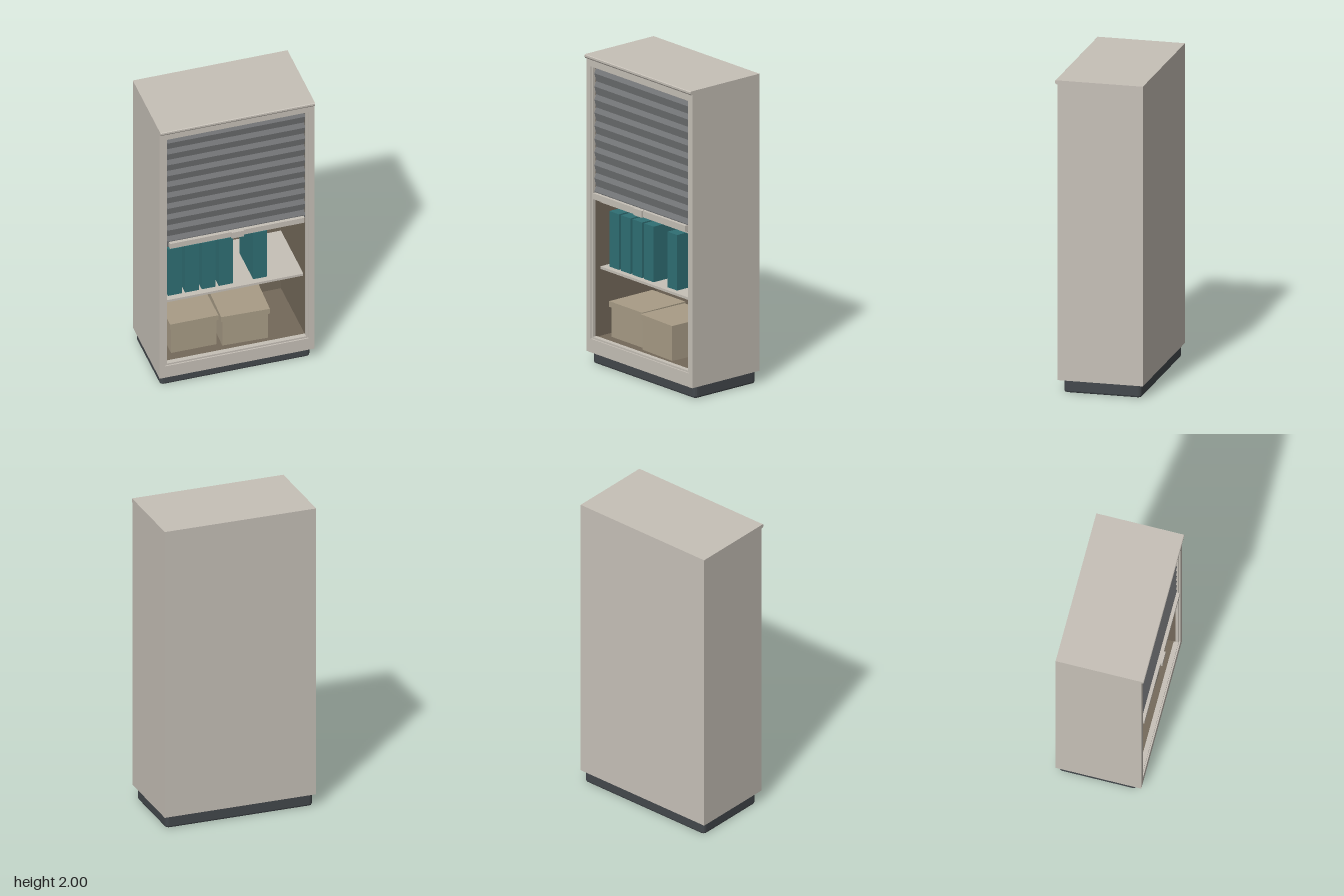
import * as THREE from 'three';

const mat = (name, color) => new THREE.MeshStandardMaterial({ name, color });

export function createModel() {
  const root = new THREE.Group();
  root.name = 'rollerShutterCabinet';
  const body = mat('warmGreyPaint', 0xc6c0b7);
  const lining = mat('brownLining', 0x74695a);
  const shutterGrey = mat('shutterGrey', 0x77797b);
  const plinthGrey = mat('plinthCharcoal', 0x43484c);
  const teal = mat('binderTeal', 0x2f6f74);
  const card = mat('boxCardboard', 0xa89c86);

  const add = (name, geo, m, parent = root) => {
    const mesh = new THREE.Mesh(geo, m);
    mesh.name = name;
    parent.add(mesh);
    return mesh;
  };
  // box given by its limits on each axis
  const block = (name, m, [x0, x1], [y0, y1], [z0, z1], parent) => {
    const mesh = add(name, new THREE.BoxGeometry(x1 - x0, y1 - y0, z1 - z0), m, parent);
    mesh.position.set((x0 + x1) / 2, (y0 + y1) / 2, (z0 + z1) / 2);
    return mesh;
  };
  // [z, y] profile extruded along x, centred
  const extrudeX = (pts, width) => {
    const shape = new THREE.Shape(pts.map(([z, y]) => new THREE.Vector2(z, y)));
    return new THREE.ExtrudeGeometry(shape, { depth: width, bevelEnabled: false })
      .rotateY(-Math.PI / 2).translate(width / 2, 0, 0);
  };
  const rect = (Type, x, y0, y1) => new Type([[-x, y0], [x, y0], [x, y1], [-x, y1]]
    .map(([a, b]) => new THREE.Vector2(a, b)));

  // carcass: a frame with a front opening, closed by a back panel
  const frame = rect(THREE.Shape, 0.5, 0.08, 2);
  frame.holes.push(rect(THREE.Path, 0.463, 0.168, 1.928));
  add('carcass', new THREE.ExtrudeGeometry(frame, { depth: 0.535, bevelEnabled: false })
    .translate(0, 0, -0.27), body);
  block('backPanel', body, [-0.5, 0.5], [0.08, 2], [-0.28, -0.27]);
  add('topLip', extrudeX([[0.264, 2], [0.264, 1.975], [0.274, 1.975], [0.28, 1.984], [0.28, 1.996], [0.276, 2]], 1), body);

  // plinth with rounded corners and a chamfered foot
  const px = 0.473, pz = 0.235, r = 0.015;
  const foot = new THREE.Shape();
  foot.moveTo(-px + r, -pz);
  foot.lineTo(px - r, -pz);
  foot.quadraticCurveTo(px, -pz, px, -pz + r);
  foot.lineTo(px, pz - r);
  foot.quadraticCurveTo(px, pz, px - r, pz);
  foot.lineTo(-px + r, pz);
  foot.quadraticCurveTo(-px, pz, -px, pz - r);
  foot.lineTo(-px, -pz + r);
  foot.quadraticCurveTo(-px, -pz, -px + r, -pz);
  add('plinth', new THREE.ExtrudeGeometry(foot, {
    depth: 0.085, bevelThickness: 0.012, bevelSize: 0.012, bevelSegments: 2, curveSegments: 4,
  }).rotateX(-Math.PI / 2).translate(0, 0.012, -0.0175), plinthGrey);

  // interior lining
  const inside = new THREE.Group();
  inside.name = 'lining';
  root.add(inside);
  block('backLining', lining, [-0.463, 0.463], [0.168, 1.928], [-0.27, -0.26], inside);
  block('floorLining', lining, [-0.463, 0.463], [0.168, 0.174], [-0.26, 0.235], inside);
  block('ceilingLining', lining, [-0.463, 0.463], [1.922, 1.928], [-0.26, 0.235], inside);
  for (const s of [-1, 1]) {
    block('sideLining', lining, [s * 0.457 - 0.006, s * 0.457 + 0.006], [0.174, 1.922], [-0.26, 0.235], inside);
    block('shutterGuide', body, [s * 0.456 - 0.007, s * 0.456 + 0.007], [0.168, 1.928], [0.235, 0.256]);
  }
  block('sill', body, [-0.449, 0.449], [0.168, 0.18], [0.225, 0.256]);

  // shelves with a slim front edge
  for (const y of [0.61, 1.04, 1.47]) {
    block('shelf', body, [-0.451, 0.451], [y, y + 0.013], [-0.26, 0.19]);
    block('shelfEdge', body, [-0.449, 0.449], [y - 0.002, y + 0.014], [0.185, 0.196]);
  }

  // roller shutter: each slat has a short upper slope and a longer lower slope
  const shutter = new THREE.Group();
  shutter.name = 'shutter';
  root.add(shutter);
  const pitch = 0.0847;
  const slat = extrudeX([[0.222, 0], [0.222, -pitch], [0.234, -pitch], [0.247, -0.032], [0.234, 0]], 0.89);
  for (let i = 0; i < 10; i++) add('slat', slat, shutterGrey, shutter).position.y = 1.915 - i * pitch;
  block('shutterRail', body, [-0.435, 0.435], [1.077, 1.115], [0.235, 0.268], shutter);
  block('handle', body, [-0.04, 0.04], [1.073, 1.117], [0.262, 0.28], shutter);

  // binders on the middle shelf
  for (const x of [-0.366, -0.256, -0.148, -0.038, 0.184])
    block('binder', teal, [x - 0.045, x + 0.045], [0.623, 0.982], [-0.12, 0.155]);

  // lidded storage boxes on the floor
  for (const [x, z, turn] of [[-0.245, -0.01, 0], [0.083, 0.02, -0.035]]) {
    const box = new THREE.Group();
    box.name = 'storageBox';
    box.position.set(x, 0.174, z);
    box.rotation.y = turn;
    root.add(box);
    block('boxBase', card, [-0.146, 0.146], [0, 0.2], [-0.165, 0.165], box);
    block('boxLid', card, [-0.156, 0.156], [0.193, 0.23], [-0.175, 0.175], box);
  }
  return root;
}
